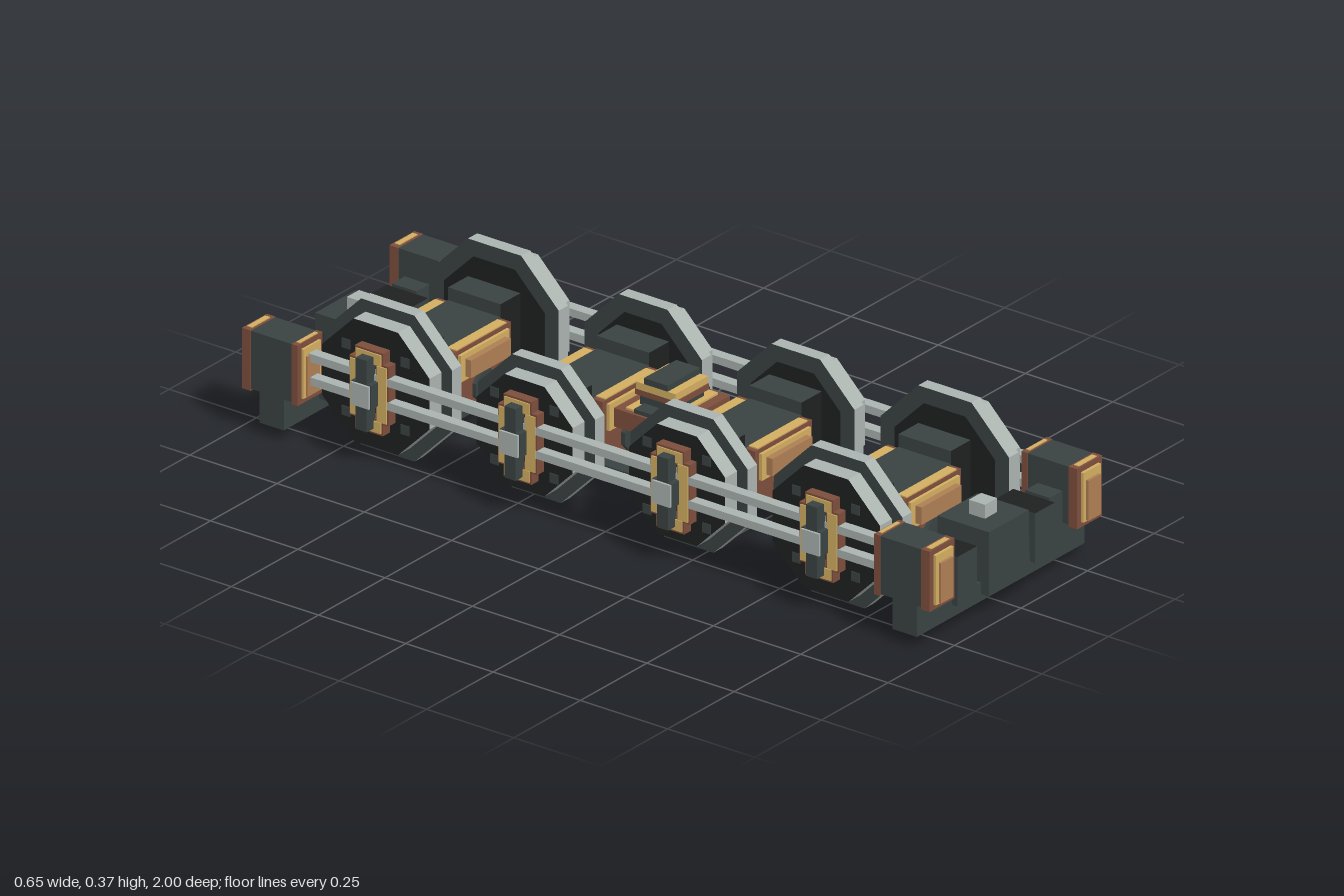
import * as THREE from 'three';

const mat = (name, color) => {
  const m = new THREE.MeshStandardMaterial({ color });
  m.name = name;
  return m;
};
const dark = mat('dark steel', 0x3a4242);
const black = mat('black iron', 0x1f2121);
const grey = mat('light steel', 0xaab3af);
const brown = mat('copper brown', 0x7d4e3c);
const yellow = mat('brass', 0xd3ae61);
const tan = mat('bronze', 0xae7f54);

// Box given by its limits on each axis
function box(parent, name, m, x0, x1, y0, y1, z0, z1) {
  const mesh = new THREE.Mesh(new THREE.BoxGeometry(x1 - x0, y1 - y0, z1 - z0), m);
  mesh.position.set((x0 + x1) / 2, (y0 + y1) / 2, (z0 + z1) / 2);
  mesh.name = name;
  parent.add(mesh);
  return mesh;
}

// Eight-sided disc across x, r measured to the flats
function octagon(parent, name, mats, r, x0, x1) {
  const R = r / Math.cos(Math.PI / 8);
  const g = new THREE.CylinderGeometry(R, R, x1 - x0, 8, 1, false, Math.PI / 8).toNonIndexed();
  g.computeVertexNormals();
  g.rotateZ(-Math.PI / 2);
  const mesh = new THREE.Mesh(g, mats);
  mesh.position.x = (x0 + x1) / 2;
  mesh.name = name;
  parent.add(mesh);
  return mesh;
}

// Flanged wheel facing +x, centred on the axle
function wheel(r) {
  const g = new THREE.Group();
  g.name = 'wheel';
  octagon(g, 'flange', [grey, dark, dark], r, 0.183, 0.218);
  octagon(g, 'tread', [grey, black, black], r - 0.03, 0.218, 0.263);
  octagon(g, 'innerFace', black, r - 0.04, 0.182, 0.184);
  for (let i = 0; i < 4; i++) {
    const a = (i + 0.5) * Math.PI / 2, y = Math.sin(a) * 0.12, z = Math.cos(a) * 0.12;
    box(g, 'wheelStud', dark, 0.26, 0.265, y - 0.012, y + 0.012, z - 0.012, z + 0.012);
  }
  return g;
}

// Motor casing outline with its lower corners cut off
const casingShape = new THREE.Shape([
  [0.107, 0.055], [-0.107, 0.055], [-0.107, -0.062], [-0.068, -0.107], [0.068, -0.107], [0.107, -0.062],
].map(([x, y]) => new THREE.Vector2(x, y)));

// Brass motor casing facing +z
function motorCasing() {
  const m = new THREE.Group();
  m.name = 'motorCasing';
  const frame = new THREE.Mesh(new THREE.ExtrudeGeometry(casingShape, { depth: 0.045, bevelEnabled: false }), brown);
  frame.name = 'casingFrame';
  frame.position.z = 0.06;
  m.add(frame);
  box(m, 'casingTop', yellow, -0.094, 0.094, 0.055, 0.058, 0.076, 0.102);
  box(m, 'casingStep', yellow, -0.092, 0.092, -0.022, 0.045, 0.1, 0.113);
  box(m, 'casingPanel', tan, -0.075, 0.075, -0.012, 0.032, 0.11, 0.13);
  // Bearing below the panel
  const bearing = octagon(m, 'motorBearing', dark, 0.038, 0.1, 0.116);
  bearing.rotation.y = -Math.PI / 2;
  bearing.position.set(0, -0.062, 0.108);
  return m;
}

// Axle with gearbox and a casing on both sides
function axle(r) {
  const g = new THREE.Group();
  g.name = 'axle';
  for (const s of [1, -1]) {
    const w = wheel(r), m = motorCasing();
    if (s < 0) w.rotation.y = m.rotation.y = Math.PI;
    g.add(w, m);
    const e = box(g, 'gearboxEnd', [dark, dark, dark, dark, black, black], 0.107, 0.183, -0.09, 0.09, -0.075, 0.075);
    e.position.x *= s;
  }
  box(g, 'motorCore', dark, -0.107, 0.107, -0.062, 0.058, -0.075, 0.075);
  box(g, 'motorSump', dark, -0.068, 0.068, -0.107, -0.062, -0.075, 0.075);
  return g;
}

// Brass axle guard with a dark spring plate, facing +x; h is half the plate height
function axleGuard(h) {
  const g = new THREE.Group();
  g.name = 'axleGuard';
  for (const s of [-1, 1]) {
    const z = s * 0.038;
    box(g, 'guardSide', brown, 0.262, 0.289, -0.075, 0.075, z - 0.018, z + 0.018);
    box(g, 'guardSideFace', yellow, 0.289, 0.292, -0.07, 0.07, z - 0.014, z + 0.014);
    const y = s * 0.085;
    box(g, 'guardCap', brown, 0.262, 0.289, y - 0.019, y + 0.019, -0.04, 0.04);
    box(g, 'guardCapFace', yellow, 0.289, 0.292, y - 0.014, y + 0.014, -0.036, 0.036);
  }
  box(g, 'springPlate', dark, 0.27, 0.318, -0.03, 0.03, -0.028, 0.028);
  box(g, 'springPost', dark, 0.286, 0.318, -h, h, -0.016, 0.016);
  box(g, 'springFace', grey, 0.318, 0.324, -0.028, 0.028, -0.026, 0.026);
  return g;
}

// End beam with buffers, facing +z
function endBeam() {
  const g = new THREE.Group();
  g.name = 'endBeam';
  box(g, 'lowerBeam', dark, -0.315, 0.315, 0.032, 0.08, 0.872, 0.942);
  box(g, 'couplerBox', dark, -0.075, 0.075, 0.05, 0.212, 0.818, 0.965);
  box(g, 'couplerPin', grey, -0.023, 0.023, 0.212, 0.247, 0.868, 0.914);
  for (const s of [1, -1]) {
    const put = (name, m, x, hw, y0, y1, z0, z1) =>
      box(g, name, m, s * x - hw, s * x + hw, y0, y1, z0, z1);
    put('beamEnd', dark, 0.2115, 0.1035, 0.08, 0.125, 0.872, 0.942);
    put('beamShoulder', dark, 0.209, 0.026, 0.125, 0.195, 0.872, 0.942);
    put('beamBlock', [dark, dark, black, dark, dark, dark], 0.146, 0.037, 0.063, 0.188, 0.838, 0.957);
    put('buffer', dark, 0.277, 0.046, 0.115, 0.261, 0.843, 0.96);
    for (const [name, m, hw, y0, y1, a, b] of [
      ['bufferFrame', brown, 0.047, 0.11, 0.262, 0.0, 0.025],
      ['bufferBand', yellow, 0.034, 0.125, 0.264, 0.006, 0.02],
      ['bufferRim', yellow, 0.033, 0.124, 0.249, 0.025, 0.033],
      ['bufferPanel', tan, 0.023, 0.127, 0.228, 0.033, 0.04]]) {
      put(name, m, 0.277, hw, y0, y1, 0.96 + a, 0.96 + b);
      put(name, m, 0.277, hw, y0, y1, 0.843 - b * 0.7, 0.843 - a * 0.7);
    }
  }
  return g;
}

export function createModel() {
  const root = new THREE.Group();
  root.name = 'undercarriage';
  const axleY = 0.187;

  // Four axles, the outer pair larger
  for (const [z, r] of [[0.642, 0.184], [0.215, 0.168], [-0.222, 0.168], [-0.648, 0.184]]) {
    const a = axle(r);
    a.position.set(0, axleY, z);
    root.add(a);
    // Guards stand slightly staggered from side to side
    for (const s of [1, -1]) {
      const guard = axleGuard(s > 0 ? 0.068 : 0.09);
      guard.position.set(0, axleY, s > 0 ? z - 0.06 : z);
      if (s < 0) guard.rotation.y = Math.PI;
      root.add(guard);
    }
  }

  // Side rods, two on each side
  for (const s of [1, -1])
    for (const y of [0.163, 0.222])
      box(root, 'sideRod', grey, s * 0.276 - 0.014, s * 0.276 + 0.014, y - 0.01, y + 0.01, -0.83, 0.83);

  // Centre pivot
  box(root, 'pivotPost', dark, -0.06, 0.06, 0.08, 0.19, -0.06, 0.06);
  box(root, 'pivotBase', dark, -0.1, 0.1, 0.19, 0.246, -0.033, 0.033);
  box(root, 'pivotFrame', brown, -0.107, 0.107, 0.19, 0.236, -0.085, 0.085);
  box(root, 'pivotBand', yellow, -0.095, 0.095, 0.2, 0.241, -0.06, 0.06);
  box(root, 'pivotNeck', dark, -0.061, 0.061, 0.241, 0.262, -0.045, 0.045);
  box(root, 'pivotCollar', brown, -0.061, 0.061, 0.262, 0.276, -0.06, 0.06);
  box(root, 'pivotRing', yellow, -0.061, 0.061, 0.276, 0.294, -0.056, 0.056);
  box(root, 'pivotPlate', dark, -0.061, 0.061, 0.294, 0.309, -0.034, 0.034);

  // Belly plates under the motors
  box(root, 'bellyPlate', dark, -0.1, 0.1, 0.05, 0.08, -0.22, 0.22);
  for (const z of [0.642, -0.648])
    box(root, 'bellyPlate', dark, -0.1, 0.1, 0.055, 0.08, z - 0.09, z + 0.09);

  // End beams
  const front = endBeam(), back = endBeam();
  back.rotation.y = Math.PI;
  root.add(front, back);
  return root;
}
